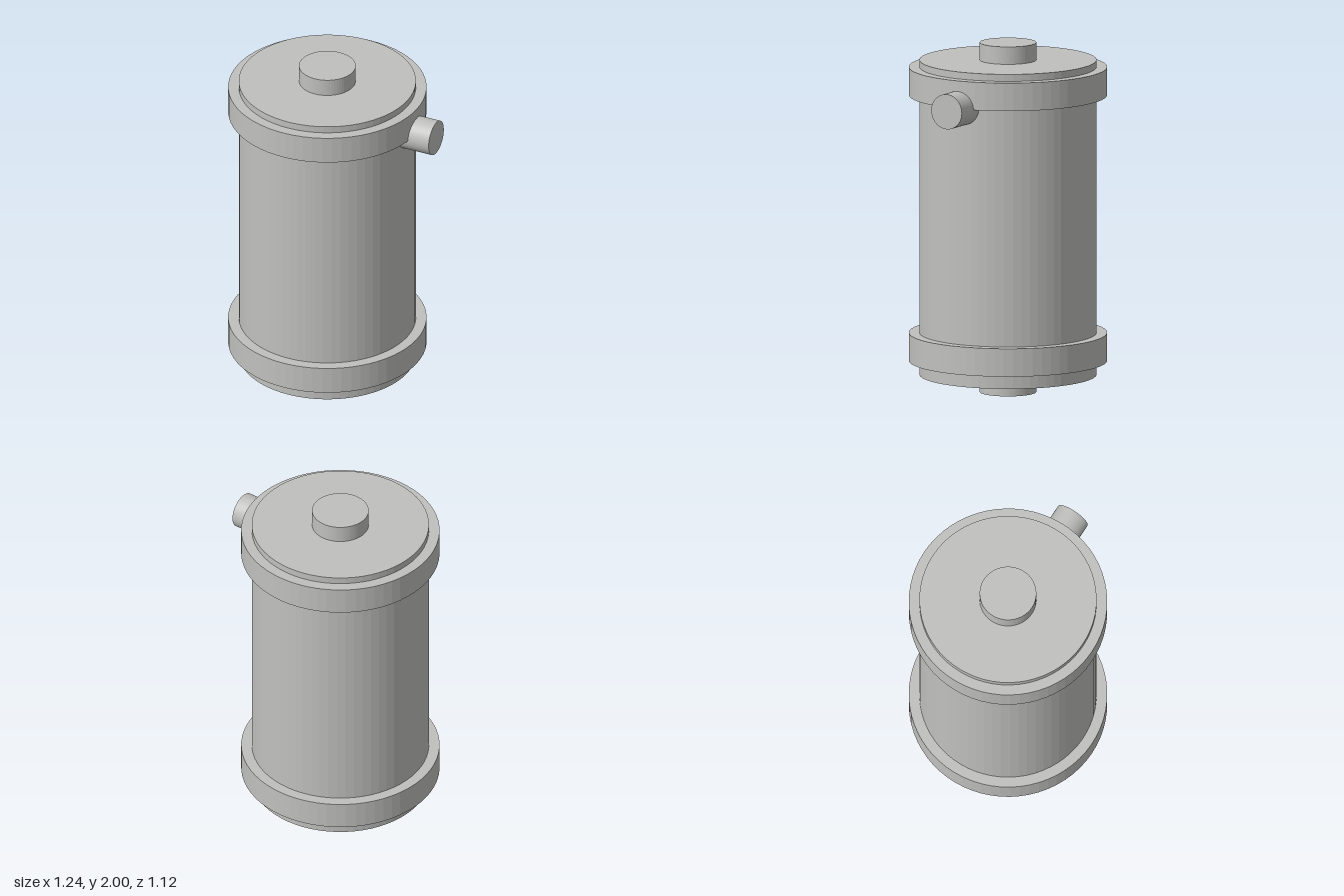
import * as THREE from 'three';

const AXIS_X = -0.06; // the canister sits off centre to balance the side nozzle

export function createModel() {
  const model = new THREE.Group();
  const grey = new THREE.MeshStandardMaterial({ color: 0xc0c0be, flatShading: true });
  grey.name = 'light grey';

  // Upright cylinder spanning y0 to y1 on the canister axis
  const addCylinder = (name, radius, y0, y1) => {
    const mesh = new THREE.Mesh(new THREE.CylinderGeometry(radius, radius, y1 - y0, 64), grey);
    mesh.name = name;
    mesh.position.set(AXIS_X, (y0 + y1) / 2, 0);
    model.add(mesh);
  };

  addCylinder('canisterBody', 0.5, 0.1, 1.9);

  // Clamping bands
  addCylinder('lowerBand', 0.56, 0.18, 0.34);
  addCylinder('upperBand', 0.56, 1.7, 1.86);

  // End ports, sunk slightly into the body
  addCylinder('bottomPort', 0.16, 0, 0.12);
  addCylinder('topPort', 0.16, 1.88, 2);

  // Side nozzle pointing along +x, rooted inside the wall
  const x0 = 0.38, x1 = 0.62;
  const nozzle = new THREE.Mesh(new THREE.CylinderGeometry(0.1, 0.1, x1 - x0, 64), grey);
  nozzle.name = 'sideNozzle';
  nozzle.rotation.z = -Math.PI / 2;
  nozzle.position.set((x0 + x1) / 2, 1.7, 0);
  model.add(nozzle);

  return model;
}
